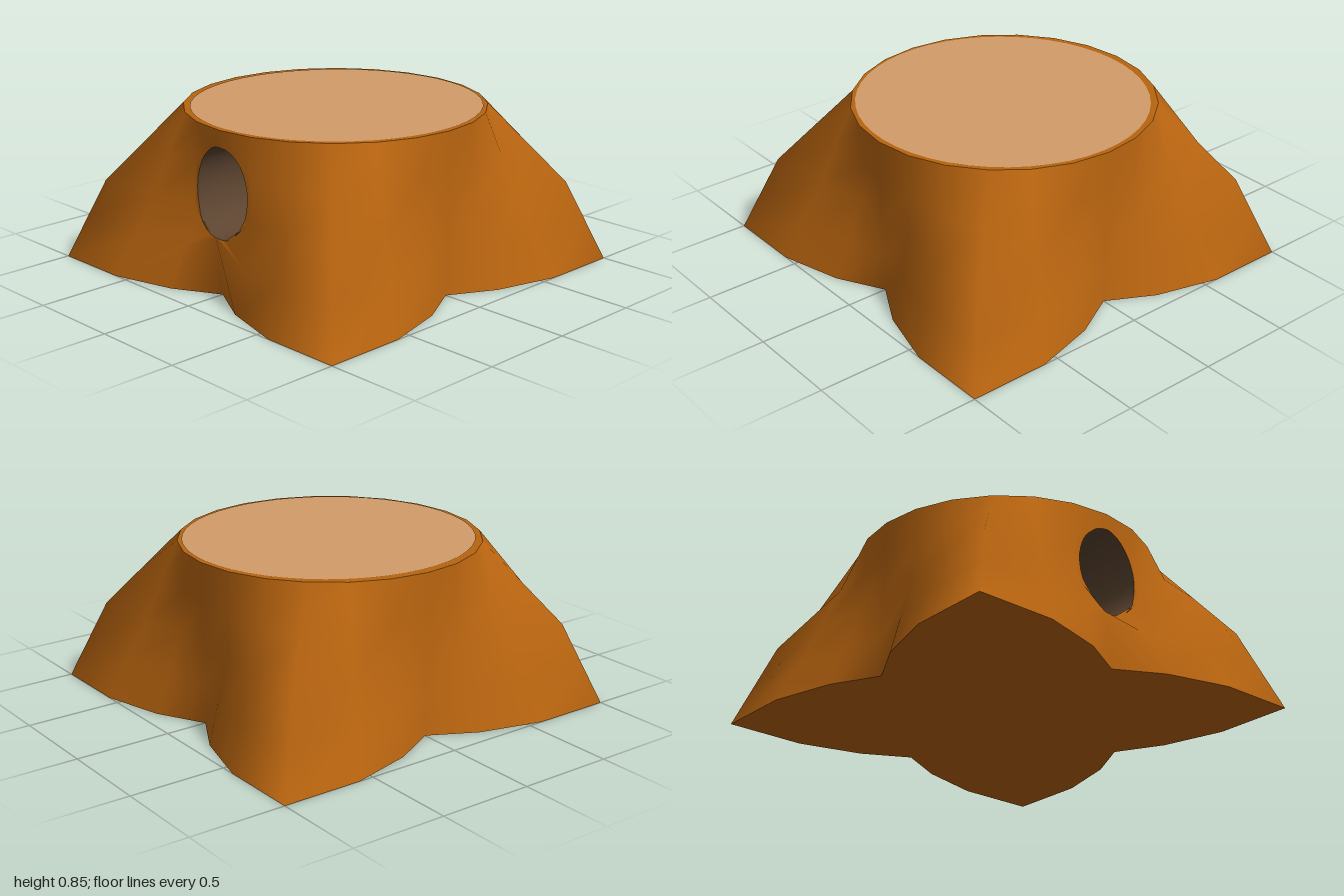
import * as THREE from 'three';
import { mergeVertices } from 'three/addons/utils/BufferGeometryUtils.js';

const H = 0.842, COLS = 24, ROWS = 4, HOLE_SEGS = 32;

// radius at 0, 15, 30 and 45 degrees from each face centre, for three heights
const PROFILES = [
  [0.78, 0.943, 1.1547, 1.4142],
  [0.78, 0.802, 0.95, 1.197],
  [0.78, 0.78, 0.78, 0.78],
];

// point on the trunk grid; column 0 is the middle of the front
function wallPoint(col, row) {
  const c = ((col % 6) + 6) % 6;
  const k = c <= 3 ? c : 6 - c;
  const t = (row / ROWS) * 2;
  const i = Math.min(1, Math.floor(t));
  const r = THREE.MathUtils.lerp(PROFILES[i][k], PROFILES[i + 1][k], t - i);
  const a = (col / COLS) * Math.PI * 2;
  return new THREE.Vector3(r * Math.sin(a), (row / ROWS) * H, r * Math.cos(a));
}

// depth of the front face at x, y
function frontZ(x, y) {
  const t = (y / H) * ROWS, row = Math.min(ROWS - 1, Math.floor(t));
  const side = wallPoint(1, row).lerp(wallPoint(1, row + 1), t - row);
  return THREE.MathUtils.lerp(0.78, side.z, Math.abs(x) / side.x);
}

function fromTriangles(points) {
  const g = new THREE.BufferGeometry().setFromPoints(points);
  const merged = mergeVertices(g, 1e-5);
  merged.computeVertexNormals();
  return merged;
}

export function createModel() {
  const group = new THREE.Group();
  const material = (name, color) => {
    const m = new THREE.MeshStandardMaterial({ color });
    m.name = name;
    return m;
  };
  const bark = material('bark', 0xb8640f);
  const cutWood = material('cut wood', 0xd29c69);
  const hollowWood = material('hollow wood', 0x5c4430);
  const darkness = material('darkness', 0x0d0d0d);
  const add = (name, geometry, mat) => {
    const mesh = new THREE.Mesh(geometry, mat);
    mesh.name = name;
    group.add(mesh);
    return mesh;
  };

  // rim of the knothole
  const hole = [];
  for (let i = 0; i < HOLE_SEGS; i++) {
    const a = (i / HOLE_SEGS) * Math.PI * 2;
    const x = 0.185 * Math.cos(a), y = 0.52 + 0.235 * Math.sin(a);
    hole.push(new THREE.Vector3(x, y, frontZ(x, y)));
  }

  // trunk with four flaring roots, leaving the two front columns open
  const wall = [];
  for (let c = 1; c < COLS - 1; c++) {
    for (let r = 0; r < ROWS; r++) {
      const p = wallPoint(c, r), q = wallPoint(c + 1, r);
      const s = wallPoint(c + 1, r + 1), t = wallPoint(c, r + 1);
      wall.push(p, q, s, p, s, t);
    }
  }

  // front columns, stitched from their border to the knothole
  const border = [];
  for (let r = 0; r <= ROWS; r++) border.push(wallPoint(1, r));
  border.push(wallPoint(0, ROWS));
  for (let r = ROWS; r >= 0; r--) border.push(wallPoint(-1, r));
  border.push(wallPoint(0, 0));
  const nearest = (p) => {
    let best = 0;
    border.forEach((b, i) => {
      if (b.distanceTo(p) < border[best].distanceTo(p) - 1e-6) best = i;
    });
    return best;
  };
  let k = nearest(hole[0]);
  for (let i = 0; i < HOLE_SEGS; i++) {
    const e = hole[i], next = hole[(i + 1) % HOLE_SEGS], target = nearest(next);
    while (k !== target) {
      const k2 = (k + 1) % border.length;
      wall.push(e, border[k], border[k2]);
      k = k2;
    }
    wall.push(e, border[k], next);
  }
  add('trunk', fromTriangles(wall), bark);

  // flat top rim and underside
  const top = [], bottom = [];
  for (let c = 0; c < COLS; c++) {
    top.push(new THREE.Vector3(0, H, 0), wallPoint(c, ROWS), wallPoint(c + 1, ROWS));
    bottom.push(new THREE.Vector3(0, 0, 0), wallPoint(c + 1, 0), wallPoint(c, 0));
  }
  add('topRim', fromTriangles(top), bark);
  add('underside', fromTriangles(bottom), bark);

  // pale cut face
  const cut = add('cutFace', new THREE.CircleGeometry(1, 48).rotateX(-Math.PI / 2), cutWood);
  cut.scale.set(0.743, 1, 0.755);
  cut.position.set(0.01, H + 0.003, 0);

  // hollow behind the knothole
  const backZ = 0.08, tunnel = [];
  for (let i = 0; i < HOLE_SEGS; i++) {
    const a = hole[i], b = hole[(i + 1) % HOLE_SEGS];
    const c = b.clone().setZ(backZ), d = a.clone().setZ(backZ);
    tunnel.push(a, b, d, b, c, d);
  }
  add('hollowWall', fromTriangles(tunnel), hollowWood);
  const back = add('hollowBack', new THREE.CircleGeometry(1, HOLE_SEGS), darkness);
  back.scale.set(0.185, 0.235, 1);
  back.position.set(0, 0.52, backZ);

  return group;
}
